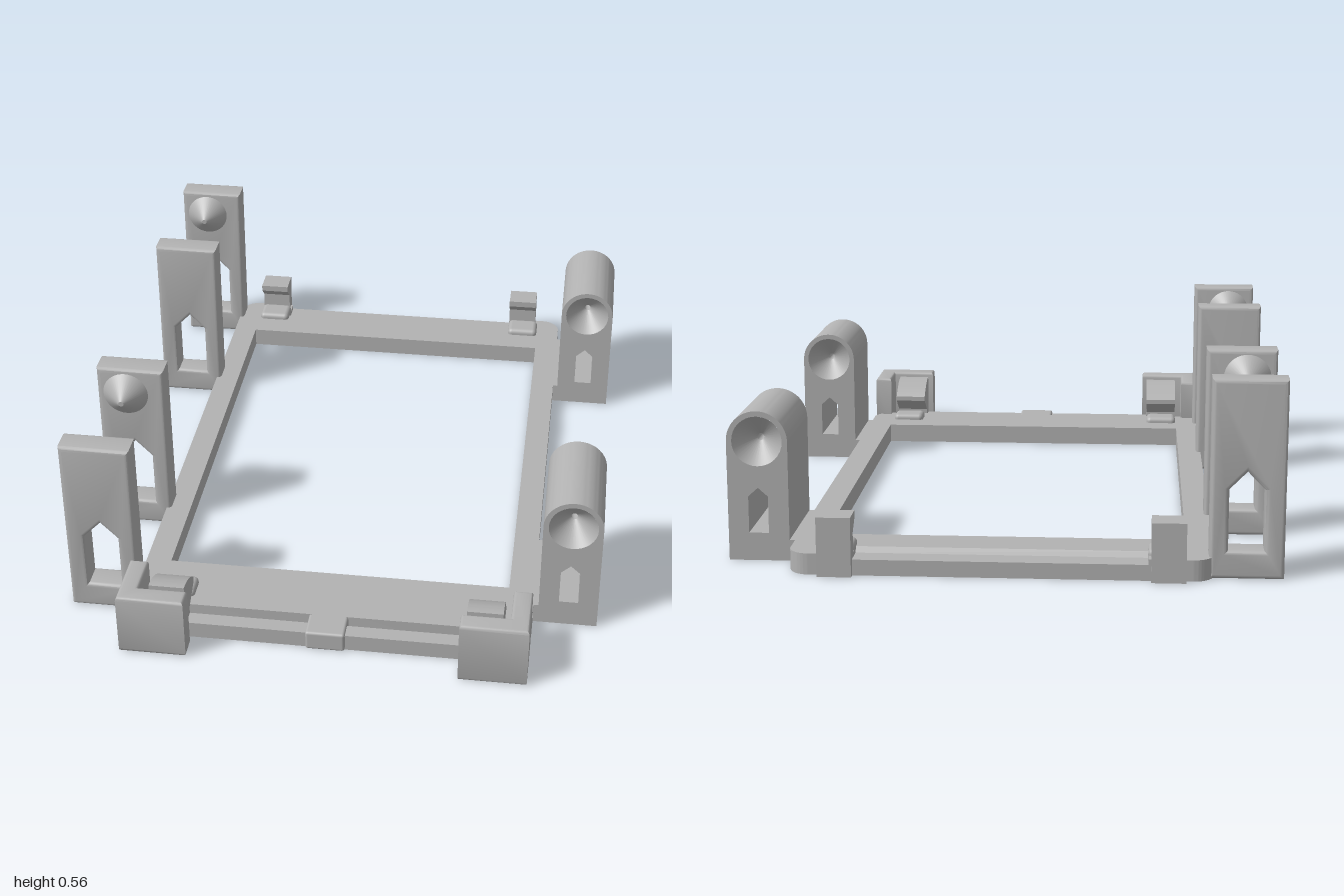
import * as THREE from 'three';
import { toCreasedNormals } from 'three/addons/utils/BufferGeometryUtils.js';
import { RoundedBoxGeometry } from 'three/addons/geometries/RoundedBoxGeometry.js';

const grey = new THREE.MeshStandardMaterial({ color: 0xb2b2b2 });
grey.name = 'plain grey';
const greyInside = grey;

const poly = (pts) => new THREE.Shape(pts.map(([x, y]) => new THREE.Vector2(x, y)));

// Extrusion from z = 0 to depth, with optional softened edges inside the outline
function extrude(shape, depth, bevel = 0) {
  const g = new THREE.ExtrudeGeometry(shape, {
    depth: depth - 2 * bevel, bevelEnabled: bevel > 0, bevelSize: bevel,
    bevelThickness: bevel, bevelOffset: -bevel, bevelSegments: 3, curveSegments: 16,
  });
  g.translate(0, 0, bevel);
  return toCreasedNormals(g, 0.6);
}

// Outline drawn in (x, -z), raised to the given height
const fromPlan = (shape, height, bevel) => extrude(shape, height, bevel).rotateX(-Math.PI / 2);

// Outline drawn in (z, y), spanning x0..x1
const fromSide = (shape, x0, x1, bevel) =>
  extrude(shape, x1 - x0, bevel).rotateY(-Math.PI / 2).translate(x1, 0, 0);

// Upright window with a pointed top
function windowPath(x, half, y0, y1, peak) {
  return poly([[x - half, y0], [x - half, y1], [x, peak], [x + half, y1], [x + half, y0]]);
}

export function createModel() {
  const model = new THREE.Group();
  model.name = 'snapFitFrame';
  const add = (name, geometry, parent = model) => {
    const mesh = new THREE.Mesh(geometry, grey);
    mesh.name = name;
    parent.add(mesh);
    return mesh;
  };
  const box = (name, x0, x1, y0, y1, z0, z1, r = 0) => {
    const size = [x1 - x0, y1 - y0, z1 - z0];
    const g = r ? new RoundedBoxGeometry(...size, 3, r) : new THREE.BoxGeometry(...size);
    add(name, g.translate((x0 + x1) / 2, (y0 + y1) / 2, (z0 + z1) / 2));
  };

  // Base frame with rounded corners and a recess along the back edge
  const W = 0.585, back = 0.98, front = -0.83, r = 0.06;
  const outline = new THREE.Shape();
  outline.moveTo(-W + r, front);
  outline.lineTo(W - r, front);
  outline.absarc(W - r, front + r, r, -Math.PI / 2, 0, false);
  outline.lineTo(W, back - r);
  outline.absarc(W - r, back - r, r, 0, Math.PI / 2, false);
  outline.lineTo(0.405, back);
  outline.lineTo(0.405, 0.9);
  outline.lineTo(-0.405, 0.9);
  outline.lineTo(-0.405, back);
  outline.lineTo(-W + r, back);
  outline.absarc(-W + r, back - r, r, Math.PI / 2, Math.PI, false);
  outline.lineTo(-W, front + r);
  outline.absarc(-W + r, front + r, r, Math.PI, Math.PI * 1.5, false);
  outline.holes.push(poly([[-0.51, -0.63], [-0.51, 0.78], [0.51, 0.78], [0.51, -0.63]]));
  add('baseFrame', fromPlan(outline, 0.06));
  add('backLedge', fromSide(
    poly([[-0.98, 0], [-0.9, 0], [-0.9, 0.06], [-0.913, 0.045], [-0.98, 0.045]]), -0.405, 0.405));

  // Four upright plates with inward cones
  const plates = [[-0.91, 1], [-0.476, -1], [0.32, 1], [0.757, -1]];
  for (const [z, dir] of plates) {
    const plate = poly([[-0.775, 0], [-0.57, 0], [-0.57, 0.555], [-0.775, 0.555]]);
    plate.holes.push(windowPath(-0.67, 0.049, 0.08, 0.25, 0.3));
    const upright = new THREE.Group();
    upright.name = 'pinUpright';
    model.add(upright);
    add('uprightPlate', extrude(plate, 0.084, 0.012).translate(0, 0, z - 0.042), upright);
    const cone = new THREE.CylinderGeometry(0.008, 0.07, 0.062, 40);
    cone.rotateX(dir * Math.PI / 2).translate(-0.688, 0.473, z + dir * 0.072);
    add('pinCone', cone, upright);
  }

  // Two hinge posts with a barrel, conical sockets and a window
  const cx = 0.686, cy = 0.343, R = 0.086, len = 0.322;
  for (const z0 of [-0.853, 0.38]) {
    const body = new THREE.Shape();
    body.moveTo(cx - R, 0);
    body.lineTo(cx + R, 0);
    body.lineTo(cx + R, cy);
    body.absarc(cx, cy, R, 0, Math.PI, false);
    body.lineTo(cx - R, 0);
    body.holes.push(windowPath(cx, 0.028, 0.08, 0.185, 0.21));
    body.holes.push(new THREE.Path().absarc(cx, cy, 0.071, 0, Math.PI * 2, true));
    const post = new THREE.Group();
    post.name = 'hingePost';
    model.add(post);
    add('postBody', extrude(body, len).translate(0, 0, z0), post);
    // Bore profile listed from far end to near end so that its inside faces out
    const bore = [[0.071, len], [0.01, len - 0.062], [0.01, 0.062], [0.071, 0]]
      .map(([x, y]) => new THREE.Vector2(x, y));
    const g = toCreasedNormals(new THREE.LatheGeometry(bore, 40), 0.5);
    add('conicalSockets', g.rotateX(Math.PI / 2).translate(cx, cy, z0), post);
    box('postFoot', 0.56, 0.612, 0, 0.06, z0, z0 + len);
  }

  // Flexible bar along the front, joined at the middle
  box('flexBar', -0.505, 0.505, 0, 0.05, 0.857, 0.903);
  box('flexBarTab', -0.057, 0.057, 0, 0.06, 0.82, 0.915, 0.008);

  // Front latch with a curved top and a nose pointing back
  const latch = new THREE.Shape();
  latch.moveTo(0.857, 0);
  latch.lineTo(0.91, 0);
  latch.lineTo(0.91, 0.18);
  latch.quadraticCurveTo(0.85, 0.18, 0.788, 0.13);
  latch.lineTo(0.788, 0.115);
  latch.lineTo(0.857, 0.07);

  // Back hook with a nose pointing forward
  const hook = poly([[-1, 0], [-0.955, 0], [-0.955, 0.115], [-0.918, 0.148],
    [-0.918, 0.168], [-1, 0.168]]);

  for (const s of [-1, 1]) {
    // Corner guard, L-shaped in plan
    const guard = poly([[-0.585, -0.81], [-0.585, -0.995], [-0.39, -0.995],
      [-0.39, -0.935], [-0.53, -0.935], [-0.53, -0.81]].map(([x, y]) => [-s * x, y]));
    add('cornerGuard', fromPlan(guard, 0.192, 0.01));
    const x0 = s > 0 ? 0.405 : -0.508, x1 = x0 + 0.103;
    add('frontLatch', fromSide(latch, x0, x1));
    add('backHook', fromSide(hook, x0, x1 - 0.008));
    box('frontPad', x0, x1, 0.04, 0.08, 0.715, 0.795, 0.015);
    box('backPad', x0, x1, 0.04, 0.08, -0.95, -0.865, 0.015);
  }
  return model;
}
